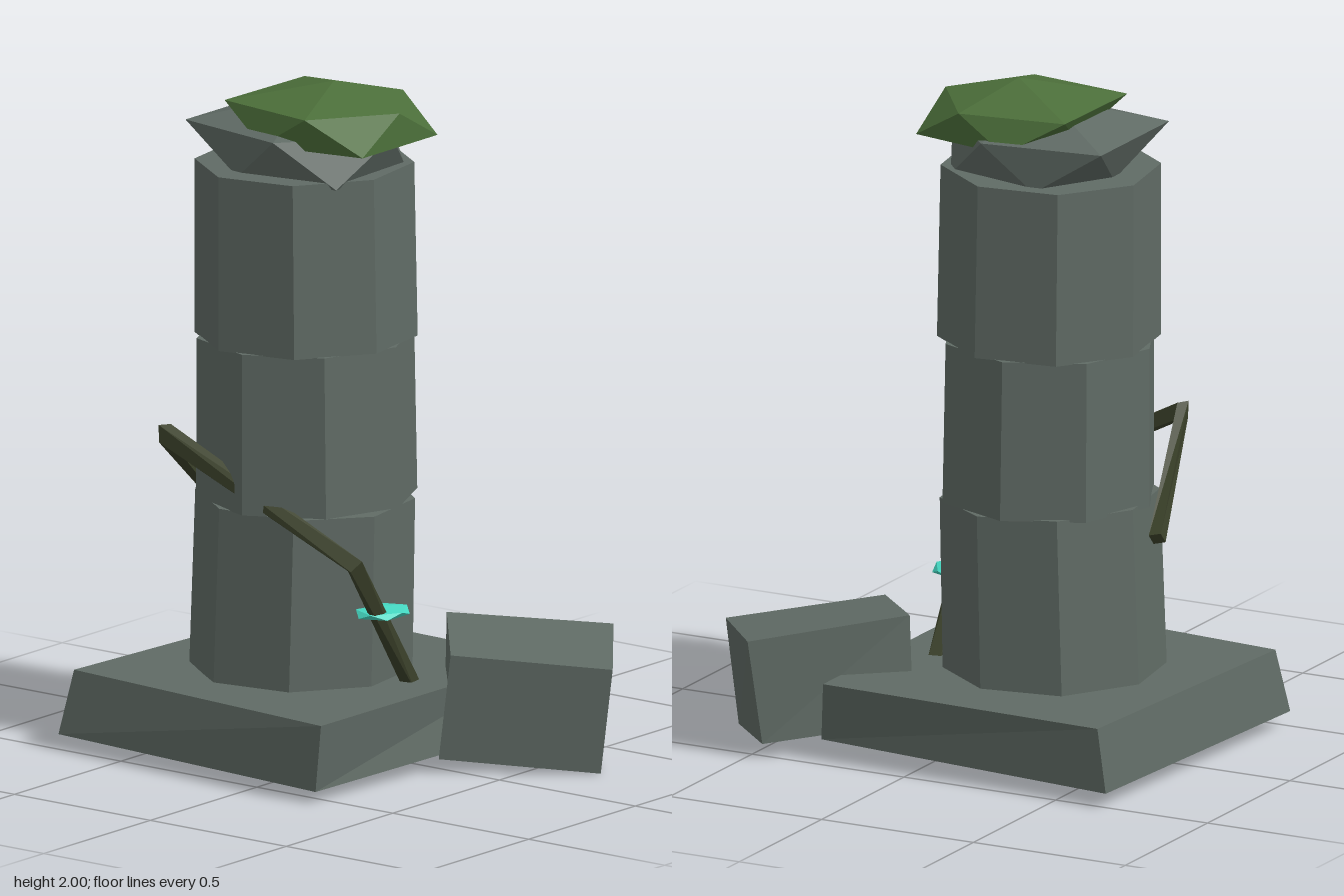
import * as THREE from 'three';

const V = (x, y, z) => new THREE.Vector3(x, y, z);

function mat(name, color) {
  const m = new THREE.MeshStandardMaterial({ color });
  m.name = name;
  return m;
}

// Faceted geometry from points and triangle indices
function faceted(points, index) {
  const indexed = new THREE.BufferGeometry().setFromPoints(points);
  indexed.setIndex(index);
  const geo = indexed.toNonIndexed();
  geo.computeVertexNormals();
  return geo;
}

// Joins equal-sized corner rings, first to last, and caps both ends
function loft(rings) {
  const n = rings[0].length, last = (rings.length - 1) * n, index = [];
  for (let r = 0; r < rings.length - 1; r++) {
    for (let i = 0; i < n; i++) {
      const j = (i + 1) % n, b = r * n, t = b + n;
      index.push(t + i, t + j, b + j, t + i, b + j, b + i);
    }
  }
  for (let i = 1; i < n - 1; i++) {
    index.push(0, i, i + 1, last, last + i + 1, last + i);
  }
  return faceted(rings.flat(), index);
}

// Squashed 20-sided lump; upper and lower scale the five points of each ring
function lump(rx, ry, rz, upper, lower) {
  const ring = (scales, start, y) => scales.map((s, i) => {
    const a = start + i * Math.PI * 0.4;
    return V(0.894 * s * rx * Math.cos(a), y * ry, 0.894 * s * rz * Math.sin(a));
  });
  const points = [V(0, ry, 0), ...ring(upper, 0, 0.447), ...ring(lower, Math.PI / 5, -0.447), V(0, -ry, 0)];
  const index = [];
  for (let i = 0; i < 5; i++) {
    const j = (i + 1) % 5, u = 1 + i, u2 = 1 + j, l = 6 + i, l2 = 6 + j;
    index.push(0, u2, u, u, u2, l, u2, l2, l, 11, l, l2);
  }
  return faceted(points, index);
}

// Square stem with mitred bends, one flat side facing away from the column
function stem(path, half) {
  const rings = path.map((p, i) => {
    const dir = (a, b) => path[b].clone().sub(path[a]).normalize();
    const before = i > 0 ? dir(i - 1, i) : dir(0, 1);
    const after = i < path.length - 1 ? dir(i, i + 1) : before;
    const t = before.clone().add(after).normalize();
    const out = V(p.x + 0.2, 0, p.z - 0.02);
    out.addScaledVector(t, -out.dot(t)).normalize();
    const side = out.clone().cross(t);
    const miter = 1 / Math.max(0.75, t.dot(before));
    return [[1, 1], [-1, 1], [-1, -1], [1, -1]].map(([a, b]) =>
      p.clone().addScaledVector(out, a * half).addScaledVector(side, b * half * miter));
  });
  return loft(rings);
}

export function createModel() {
  const group = new THREE.Group();
  group.name = 'ruinedColumn';
  const stone = mat('stone', 0x606b65);
  const moss = mat('moss', 0x4c6f3a);
  const vine = mat('vine', 0x3b412a);
  const crystal = mat('crystal', 0x45d8c2);

  const add = (name, geo, material, x = 0, y = 0, z = 0) => {
    const mesh = new THREE.Mesh(geo, material);
    mesh.name = name;
    mesh.position.set(x, y, z);
    group.add(mesh);
    return mesh;
  };

  // Uneven base slab
  add('baseSlab', loft([
    [V(-0.67, 0.05, -0.51), V(0.315, 0.055, -0.42), V(0.255, 0.04, 0.55), V(-0.73, 0.05, 0.5)],
    [V(-0.64, 0.24, -0.505), V(0.28, 0.24, -0.475), V(0.275, 0.24, 0.55), V(-0.7, 0.24, 0.465)],
  ]), stone);

  // Fallen block leaning on the slab
  add('fallenBlock', loft([
    [V(0.11, 0.09, -0.24), V(0.45, 0.05, -0.53), V(0.685, 0.005, -0.24), V(0.32, 0.05, 0.055)],
    [V(0.13, 0.405, -0.225), V(0.485, 0.36, -0.555), V(0.725, 0.32, -0.245), V(0.36, 0.365, 0.05)],
  ]), stone);

  // Three stacked eight-sided drums: bottom, top, centre x, turn, tilt
  const drums = [
    [0.235, 0.758, -0.208, -13, -0.03],
    [0.757, 1.235, -0.197, 3, 0.01],
    [1.233, 1.75, -0.2, -13, 0.012],
  ];
  drums.forEach(([y0, y1, x, turn, tilt], i) => {
    const geo = new THREE.CylinderGeometry(0.32, 0.325, y1 - y0, 8, 1, false, THREE.MathUtils.degToRad(turn)).toNonIndexed();
    geo.computeVertexNormals();
    const drum = add('columnDrum' + (i + 1), geo, stone, x, (y0 + y1) / 2, 0.018);
    drum.rotation.z = tilt;
  });

  // Broken stone cap and the moss on it
  add('brokenCap', lump(0.32, 0.15, 0.32, [1.1, 1, 1.23, 1.23, 0.95], [1.08, 0.85, 0.75, 0.85, 1]),
    stone, -0.2, 1.8, 0.01);
  add('mossCap', lump(0.3, 0.11, 0.3, [0.9, 0.92, 1.18, 1.15, 0.9], [1.13, 0.95, 0.7, 0.95, 1.12]),
    moss, -0.105, 1.89, 0.005);

  // Vine wrapping the column
  add('vine', stem([
    V(-0.59, 0.69, 0.05 - 0.1), V(-0.46, 0.96, 0.345), V(0.165, 0.64, 0.25), V(0.14, 0.22, -0.05),
  ], 0.019), vine);

  // Small flat glowing crystal
  add('crystal', lump(0.08, 0.018, 0.1, [1, 1, 1, 1, 1], [1, 1, 1, 1, 1]), crystal, 0.138, 0.468, 0.085);

  return group;
}
